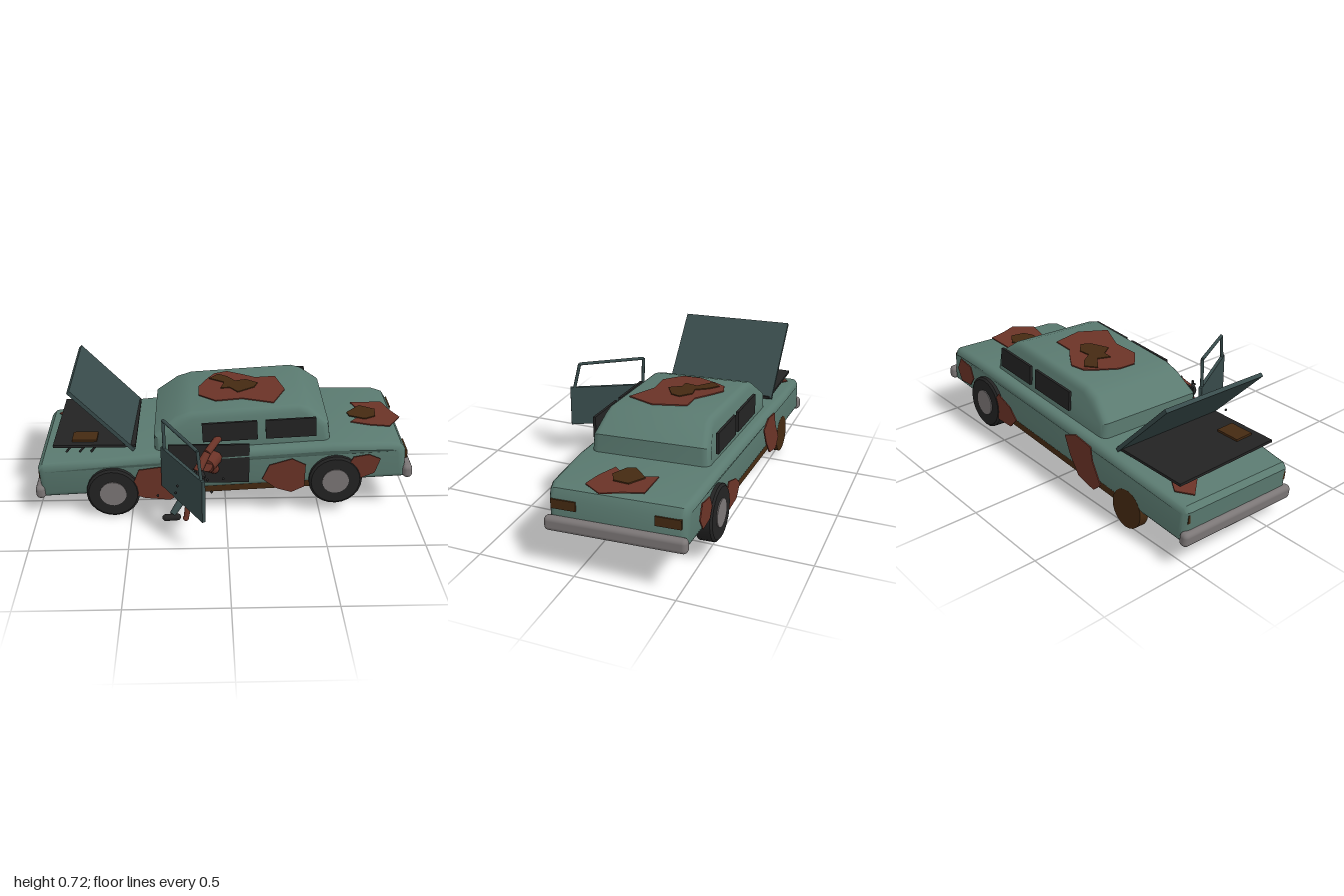
import * as THREE from 'three';
import { toCreasedNormals } from 'three/addons/utils/BufferGeometryUtils.js';
import { RoundedBoxGeometry } from 'three/addons/geometries/RoundedBoxGeometry.js';

const mat = (name, color) => new THREE.MeshStandardMaterial({ name, color });
const paint = mat('fadedPaint', 0x5a7a70);
const darkPaint = mat('darkPaint', 0x384b4b);
const rust = mat('rust', 0x6b3327);
const brown = mat('darkRust', 0x452a12);
const black = mat('black', 0x232323);
const chrome = mat('dullMetal', 0x7b7676);

function add(parent, name, geo, material, pos = [0, 0, 0], rot = [0, 0, 0]) {
  const m = new THREE.Mesh(geo, material);
  m.name = name;
  m.position.set(...pos);
  m.rotation.set(...rot);
  parent.add(m);
  return m;
}
const box = (w, h, d) => new THREE.BoxGeometry(w, h, d);
const shapeOf = (pts) => new THREE.Shape(pts.map(([x, y]) => new THREE.Vector2(x, y)));

// Side profile extruded across the car with softened edges
function hull(pts, width, bevel, rule) {
  const geo = new THREE.ExtrudeGeometry(shapeOf(pts), {
    depth: width - 2 * bevel, bevelThickness: bevel, bevelSize: bevel,
    bevelOffset: -bevel, bevelSegments: 4,
  });
  geo.translate(0, 0, bevel - width / 2);
  const p = geo.attributes.position;
  for (let i = 0; i < p.count; i++) p.setZ(i, p.getZ(i) * rule(p.getX(i), p.getY(i)));
  return toCreasedNormals(geo, 0.6);
}

// Thin ragged plate; outline in the XY plane
function flake(pts, depth = 0.006) {
  const geo = new THREE.ExtrudeGeometry(shapeOf(pts), { depth, bevelEnabled: false });
  return geo.translate(0, 0, -depth / 2);
}

// Round bar between two points
function limb(parent, name, a, b, r0, r1, material, sides = 10) {
  const va = new THREE.Vector3(...a), vb = new THREE.Vector3(...b);
  const d = vb.clone().sub(va);
  const m = add(parent, name, new THREE.CylinderGeometry(r1, r0, d.length(), sides), material);
  m.position.copy(va).add(vb).multiplyScalar(0.5);
  m.quaternion.setFromUnitVectors(new THREE.Vector3(0, 1, 0), d.normalize());
}

function addShell(car) {
  const bodyPts = [[-0.965, 0.165], [-0.97, 0.335], [-0.945, 0.36], [-0.6, 0.383], [-0.35, 0.395],
    [0.57, 0.4], [0.88, 0.382], [0.935, 0.365], [0.96, 0.32], [0.955, 0.165]];
  add(car, 'body', hull(bodyPts, 0.72, 0.035,
    (x) => 1 - 0.07 * THREE.MathUtils.smoothstep(Math.abs(x), 0.82, 0.97)), paint);
  const cabinPts = [[-0.355, 0.34], [-0.35, 0.475], [-0.23, 0.562], [-0.15, 0.585],
    [0.41, 0.592], [0.46, 0.575], [0.56, 0.49], [0.57, 0.34]];
  add(car, 'cabin', hull(cabinPts, 0.61, 0.035,
    (x, y) => 1 - 0.11 * THREE.MathUtils.smoothstep(y, 0.43, 0.59)), paint);
  add(car, 'underbody', box(1.3, 0.04, 0.66), brown, [0, 0.164, 0]);
  add(car, 'exhaustStub', new THREE.CylinderGeometry(0.018, 0.018, 0.08, 12), black,
    [-0.37, 0.138, 0.13], [0, 0, Math.PI / 2]);

  for (const s of [-1, 1]) {
    add(car, 'bumper', new RoundedBoxGeometry(0.05, 0.072, 0.7, 3, 0.022), chrome, [s * 0.97, 0.203, 0]);
    add(car, 'frontWindow', box(0.285, 0.105, 0.014), black, [0.045, 0.493, s * 0.317]);
    add(car, 'rearWindow', box(0.26, 0.105, 0.014), black, [0.36, 0.493, s * 0.317]);
    for (const t of [-1, 1])
      add(car, 'lamp', box(0.012, 0.046, 0.125), brown, [s * 0.962, 0.298, t * 0.255]);
  }
}

function addWheel(car, x, z) {
  const wheel = new THREE.Group();
  wheel.name = 'wheel';
  wheel.position.set(x, 0.19, z);
  wheel.rotation.x = Math.PI / 2;
  car.add(wheel);
  const tyre = [[0.06, -0.045], [0.128, -0.045], [0.14, -0.036], [0.14, 0.036], [0.128, 0.045], [0.06, 0.045]];
  add(wheel, 'tyre', toCreasedNormals(new THREE.LatheGeometry(
    tyre.map(([r, y]) => new THREE.Vector2(r, y)), 24), 0.5), black);
  add(wheel, 'rim', new THREE.CylinderGeometry(0.07, 0.07, 0.1, 20), chrome);
}

function addRust(car) {
  // Roof and boot lid, outlines given as x and depth across the car
  const flat = (name, pts, m, y, tilt = 0) => {
    const geo = flake(pts.map(([x, z]) => [x, -(z + 0.18)])).rotateX(-Math.PI / 2);
    add(car, name, geo, m, [0, y, 0], [0, 0, tilt]);
  };
  flat('roofRust', [[0.05, -0.38], [0.13, -0.33], [0.2, -0.28], [0.31, -0.28], [0.35, -0.11], [0.28, 0.04],
    [0.19, 0], [0.12, -0.03], [-0.02, -0.02], [-0.11, -0.1], [-0.11, -0.2], [-0.06, -0.3], [-0.02, -0.36]], rust, 0.594);
  flat('roofHole', [[-0.05, -0.29], [0, -0.34], [0.05, -0.3], [0.09, -0.24], [0.15, -0.25], [0.21, -0.2],
    [0.19, -0.15], [0.1, -0.1], [0.06, -0.16], [0.01, -0.16], [0.03, -0.23]], brown, 0.599);
  flat('bootRust', [[0.73, -0.3], [0.9, -0.3], [0.93, -0.2], [0.97, -0.11], [0.9, -0.01], [0.8, -0.03],
    [0.7, -0.07], [0.78, -0.16]], rust, 0.421, -0.035);
  flat('bootHole', [[0.69, -0.17], [0.77, -0.25], [0.85, -0.2], [0.84, -0.12], [0.78, -0.09], [0.7, -0.13]],
    brown, 0.427, -0.035);
  flat('bonnetRust', [[-0.92, -0.42], [-0.85, -0.48], [-0.77, -0.43], [-0.75, -0.36], [-0.84, -0.33]], rust, 0.428, 0.06);

  // Side patches: x, y of the centre, then the ragged outline
  const side = (s, x, y, pts) => add(car, 'sideRust', flake(pts), rust, [x, y, s * 0.364]);
  side(1, -0.33, 0.23, [[-0.15, 0], [-0.11, 0.09], [0, 0.1], [0.12, 0.08], [0.17, -0.03], [0.04, -0.1], [-0.09, -0.08], [-0.16, -0.05]]);
  side(1, 0.32, 0.235, [[-0.12, -0.01], [-0.08, 0.07], [0.04, 0.1], [0.11, 0.06], [0.1, -0.07], [0.03, -0.1], [-0.05, -0.07]]);
  side(1, 0.73, 0.265, [[-0.09, -0.01], [-0.05, 0.06], [0.03, 0.07], [0.09, 0.04], [0.06, -0.04], [-0.02, -0.07]]);
  side(-1, 0.785, 0.28, [[-0.08, 0], [-0.05, 0.06], [0.05, 0.07], [0.08, 0], [0.04, -0.06], [-0.05, -0.05]]);
  side(-1, 0.4, 0.215, [[-0.11, 0], [-0.05, 0.05], [0.06, 0.08], [0.11, 0], [0.05, -0.07], [-0.06, -0.06]]);
  side(-1, -0.27, 0.265, [[-0.15, -0.07], [-0.08, 0.03], [-0.06, 0.1], [0.06, 0.11], [0.14, 0.07], [0.09, -0.02], [0.02, -0.1], [-0.1, -0.12]]);
}

function addEngineBay(root) {
  add(root, 'bonnet', box(0.463, 0.02, 0.61), darkPaint, [-0.64, 0.543, -0.187], [0.03, 0, -0.808]);
  add(root, 'engineBay', box(0.43, 0.014, 0.595), black, [-0.685, 0.39, -0.187]);
  add(root, 'battery', box(0.13, 0.012, 0.1), brown, [-0.74, 0.402, 0.02]);
  for (const x of [-0.82, -0.75, -0.69])
    limb(root, 'brokenHose', [x - 0.02, 0.335, 0.06], [x + 0.03, 0.39, 0.06], 0.006, 0.006, black, 6);
}

function addDoor(root) {
  add(root, 'doorway', box(0.42, 0.22, 0.012), black, [-0.09, 0.312, 0.168]);
  const door = new THREE.Group();
  door.name = 'openDoor';
  door.position.set(-0.33, 0, 0.19);
  door.rotation.y = -Math.atan2(0.38, 0.21);
  root.add(door);
  add(door, 'doorPanel', box(0.434, 0.225, 0.018), darkPaint, [0.217, 0.3125, 0]);
  const frame = [[0.025, 0.42, 0], [0.02, 0.58, 0], [0.377, 0.562, 0], [0.41, 0.42, 0]].reverse();
  for (let i = 0; i < 3; i++) limb(door, 'windowFrame', frame[i], frame[i + 1], 0.009, 0.009, darkPaint, 8);
}

function addFigure(root) {
  const fig = new THREE.Group();
  fig.name = 'slumpedFigure';
  root.add(fig);
  const part = (...a) => limb(fig, ...a);
  part('torso', [-0.05, 0.35, 0.13], [-0.1, 0.335, 0.24], 0.045, 0.04, rust);
  part('upperArm', [-0.04, 0.44, 0.13], [-0.1, 0.4, 0.22], 0.02, 0.02, rust);
  part('forearm', [-0.1, 0.4, 0.22], [-0.15, 0.325, 0.28], 0.02, 0.025, rust);
  part('shoulder', [-0.06, 0.28, 0.17], [-0.1, 0.34, 0.25], 0.025, 0.03, rust);
  add(fig, 'head', new THREE.SphereGeometry(0.036, 14, 10), black, [-0.145, 0.305, 0.295]);
  part('hangingArm', [-0.15, 0.28, 0.29], [-0.195, 0.18, 0.315], 0.02, 0.017, rust);
  part('hangingForearm', [-0.195, 0.18, 0.315], [-0.21, 0.085, 0.33], 0.017, 0.014, rust);
  part('thigh', [-0.15, 0.29, 0.2], [-0.2, 0.2, 0.25], 0.024, 0.022, darkPaint);
  part('shin', [-0.2, 0.2, 0.25], [-0.28, 0.1, 0.32], 0.022, 0.017, darkPaint);
  part('otherLeg', [-0.15, 0.24, 0.18], [-0.2, 0.11, 0.29], 0.024, 0.018, darkPaint);
  add(fig, 'shoe', new THREE.CapsuleGeometry(0.018, 0.06, 4, 10), black, [-0.285, 0.085, 0.325], [0, 0.1, Math.PI / 2]);
  add(fig, 'hand', new THREE.SphereGeometry(0.016, 10, 8), rust, [-0.212, 0.082, 0.33]);

  // Flies hovering round the figure
  const flies = [[-0.35, 0.24, 0.37], [-0.26, 0.265, 0.39], [-0.25, 0.31, 0.4], [-0.1, 0.32, 0.36],
    [-0.02, 0.32, 0.35], [-0.12, 0.325, 0.34], [-0.16, 0.34, 0.315], [-0.08, 0.265, 0.385]];
  for (const f of flies) add(root, 'fly', new THREE.SphereGeometry(0.007, 8, 6), black, f);
}

export function createModel() {
  const root = new THREE.Group();
  root.name = 'abandonedCar';

  // The car leans on its missing front wheel
  const car = new THREE.Group();
  car.name = 'car';
  car.position.z = -0.2;
  car.rotation.set(0.04, 0, 0.052);
  root.add(car);

  addShell(car);
  for (const [x, z] of [[-0.585, 0.325], [0.585, 0.325], [0.585, -0.325]]) addWheel(car, x, z);
  add(car, 'bareDrum', new THREE.CylinderGeometry(0.1, 0.1, 0.05, 20), brown,
    [-0.585, 0.147, -0.315], [Math.PI / 2, 0, 0]);
  addRust(car);

  addEngineBay(root);
  addDoor(root);
  addFigure(root);
  return root;
}
